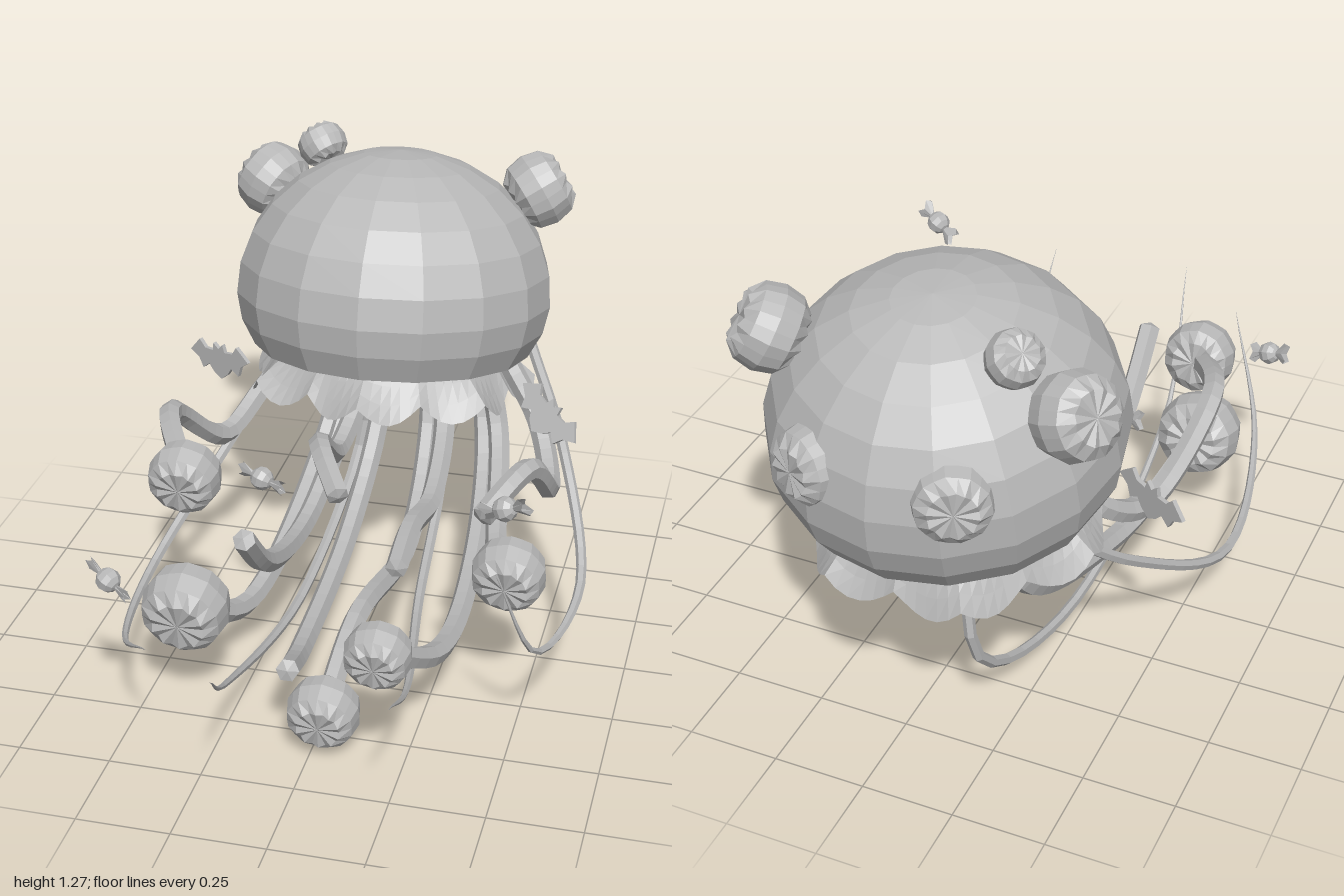
import * as THREE from 'three';

const V = (x, y, z) => new THREE.Vector3(x, y, z);
const UP = V(0, 1, 0);

export function createModel() {
  const model = new THREE.Group();
  const grey = new THREE.MeshStandardMaterial({ color: 0xb8b8b8, flatShading: true, side: THREE.DoubleSide });
  grey.name = 'grey';

  const add = (name, geometry, parent = model) => {
    const mesh = new THREE.Mesh(geometry, grey);
    mesh.name = name;
    parent.add(mesh);
    return mesh;
  };

  // Bell: rounded dome leaning back, with a narrow lip underneath
  const head = new THREE.Group();
  head.name = 'head';
  head.position.set(-0.04, 0.69, -0.508);
  head.rotation.x = -0.17;
  model.add(head);
  const dome = [new THREE.Vector2(0, 0.06), new THREE.Vector2(0.33, 0.005)];
  for (let i = 0; i <= 9; i++) {
    const a = THREE.MathUtils.lerp(-0.5, Math.PI / 2, i / 9);
    dome.push(new THREE.Vector2(0.458 * Math.cos(a), 0.17 + (a < 0 ? 0.35 : 0.405) * Math.sin(a)));
  }
  add('bell', new THREE.LatheGeometry(dome, 16), head);

  // Scalloped, folded skirt below the rim
  const lobes = 14;
  const skirt = new THREE.PlaneGeometry(1, 1, lobes * 6, 3);
  const sp = skirt.attributes.position;
  for (let i = 0; i < sp.count; i++) {
    const a = sp.getX(i) * Math.PI * 2, t = 0.5 - sp.getY(i);
    const lobe = Math.abs(Math.sin((a * lobes) / 2));
    const r = 0.31 + t * (0.09 + 0.025 * Math.cos((a * lobes) / 2));
    sp.setXYZ(i, Math.sin(a) * r, 0.02 - t * (0.095 + 0.05 * lobe), Math.cos(a) * r);
  }
  add('skirt', skirt, head);

  // Barrel knob with creased ends, shared by the bell and the arm ends
  const barrel = [[0, -0.7], [0.6, -0.72], [0.9, -0.45], [1, 0], [0.9, 0.45], [0.6, 0.72], [0, 0.68]];
  const knobShape = new THREE.LatheGeometry(barrel.map(([r, h]) => new THREE.Vector2(r, h)), 20);
  const kp = knobShape.attributes.position;
  for (let i = 0; i < kp.count; i++) {
    const y = kp.getY(i);
    const crease = Math.cos(Math.atan2(kp.getX(i), kp.getZ(i)) * 10);
    const s = 0.98 + 0.015 * crease;
    const end = Math.abs(y) > 0.71 ? 0.96 + 0.06 * crease : 1;
    kp.setXYZ(i, kp.getX(i) * s, y * end, kp.getZ(i) * s);
  }
  const knob = (name, at, size, dir) => {
    const m = add(name, knobShape);
    m.position.copy(at);
    m.scale.setScalar(size);
    m.quaternion.setFromUnitVectors(UP, dir.normalize());
  };

  // Knobs pointing outward from the middle of the bell
  const middle = V(-0.04, 0.9, -0.53);
  const bellKnob = (size, x, y, z) => knob('bellKnob', V(x, y, z).add(middle), size, V(x, y, z));
  bellKnob(0.113, -0.41, 0.19, -0.185);
  bellKnob(0.113, 0.385, 0.23, -0.185);
  bellKnob(0.073, -0.26, 0.31, -0.19);
  for (const side of [-1, 1]) bellKnob(0.105, side * 0.18, 0.01, -0.365);

  // Tube along a curve, either blunt or tapering to a point
  const limb = (name, points, radius, sides, taper) => {
    const n = 26;
    const curve = new THREE.CatmullRomCurve3(points);
    const g = new THREE.TubeGeometry(curve, n, radius, sides);
    const p = g.attributes.position, v = V(0, 0, 0);
    for (let i = 0; i <= n; i++) {
      const u = i / n;
      const centre = curve.getPointAt(u);
      const target = curve.getPointAt(i === n && !taper ? u - 0.75 / n : u);
      const s = taper ? 1 - 0.98 * u ** 3 : Number(i < n);
      for (let k = 0; k <= sides; k++) {
        const q = i * (sides + 1) + k;
        v.fromBufferAttribute(p, q).sub(centre).multiplyScalar(s).add(target);
        p.setXYZ(q, v.x, v.y, v.z);
      }
    }
    add(name, g);
  };

  // Thick arm: leaves the bell (low arms further back), dips, bends, ends bluntly or in a knob
  const arm = (dip, bend, end, knobSize) => {
    const root = V(dip.x * 0.65, 0.7, -0.75 + 0.66 * dip.y);
    const shoulder = root.clone().lerp(dip, 0.2);
    shoulder.x = dip.x * 0.85;
    shoulder.y = THREE.MathUtils.lerp(0.7, dip.y, 0.6);
    limb('arm', [root, shoulder, dip, bend, end], 0.031, 6, false);
    if (knobSize) knob('armKnob', end, knobSize, V(0, -0.2, 1));
  };
  arm(V(-0.46, 0.5, -0.2), V(-0.53, 0.69, 0.06), V(-0.41, 0.635, 0.31), 0.1);
  arm(V(-0.28, 0.17, 0), V(-0.31, 0.17, 0.2), V(-0.385, 0.3, 0.42), 0.122);
  arm(V(0.29, 0.22, -0.1), V(0.29, 0.22, 0.35), V(0.2, 0.395, 0.665), 0.09);
  arm(V(0.34, 0.3, -0.2), V(0.38, 0.29, 0), V(0.45, 0.405, 0.22), 0.103);
  arm(V(0.08, 0.2, -0.2), V(0.05, 0.25, 0.3), V(0.03, 0.125, 0.56), 0.1);
  arm(V(-0.12, 0.5, -0.18), V(-0.08, 0.69, 0.16), V(0.03, 0.63, 0.36));
  arm(V(-0.21, 0.27, -0.2), V(-0.2, 0.38, 0.27), V(-0.195, 0.61, 0.53));
  arm(V(-0.11, 0.18, -0.25), V(-0.1, 0.14, 0.3), V(-0.05, 0.28, 0.64));
  arm(V(0.17, 0.42, -0.1), V(0.16, 0.45, 0.12), V(0.17, 0.44, 0.36));
  arm(V(0.49, 0.46, -0.18), V(0.46, 0.63, 0.05), V(0.36, 0.56, 0.26));

  // Thin trailing tentacles running to a point
  const tail = (shoulder, ...rest) =>
    limb('trailingTentacle', [V(shoulder.x * 0.7, 0.68, -0.64), shoulder, ...rest], 0.016, 6, true);
  tail(V(-0.48, 0.42, -0.36), V(-0.6, 0.2, 0.05), V(-0.52, 0.26, 0.53), V(-0.34, 0.45, 0.86));
  tail(V(-0.18, 0.25, -0.68), V(-0.22, 0.025, -0.15), V(-0.22, 0.2, 0.6), V(-0.13, 0.48, 1));
  tail(V(0.11, 0.3, -0.56), V(0.15, 0.12, -0.05), V(0.24, 0.2, 0.5), V(0.3, 0.46, 0.98));
  tail(V(0.5, 0.52, -0.33), V(0.62, 0.3, 0.05), V(0.56, 0.31, 0.43), V(0.47, 0.6, 0.55));

  // Wrapped sweets: ball with pleated wrapper ends
  const ball = new THREE.SphereGeometry(0.033, 8, 6);
  const wrapper = new THREE.CylinderGeometry(0.03, 0.006, 0.04, 8, 1, true);
  const wp = wrapper.attributes.position;
  for (let i = 0; i < wp.count; i++) {
    if (wp.getY(i) > 0) wp.setXYZ(i, wp.getX(i), 0.02 + (i % 2 ? 0.008 : -0.008), wp.getZ(i) * 0.4);
  }
  const sweet = (at, dir) => {
    const g = new THREE.Group();
    g.name = 'sweet';
    g.position.copy(at);
    g.quaternion.setFromUnitVectors(UP, dir.normalize());
    add('sweetBall', ball, g);
    for (const s of [1, -1]) {
      const end = add('wrapperEnd', wrapper, g);
      end.position.y = s * 0.046;
      end.rotation.z = s > 0 ? 0 : Math.PI;
    }
    model.add(g);
  };
  sweet(V(0.48, 0.76, 0.5), V(0.85, 0.4, 0.4));
  sweet(V(-0.52, 0.485, 0.625), V(0.85, -0.4, 0.4));
  sweet(V(-0.265, 0.53, 0.09), V(0.9, -0.2, 0.3));

  // Flat bats: half outline mirrored
  const half = [[0.018, 0.05], [0.024, 0.026], [0.055, 0.028], [0.075, 0.052], [0.118, 0.012],
    [0.085, -0.008], [0.072, -0.038], [0.045, -0.02], [0.028, -0.042]];
  const outline = [[0, 0.034], ...half, [0, -0.06], ...half.map(([x, y]) => [-x, y]).reverse()];
  const batShape = new THREE.Shape(outline.map(([x, y]) => new THREE.Vector2(x, y)));
  const batGeo = new THREE.ExtrudeGeometry(batShape, { depth: 0.012, bevelEnabled: false });
  batGeo.translate(0, 0, -0.006);
  const bat = (at, rx, ry, rz) => {
    const m = add('bat', batGeo);
    m.position.copy(at);
    m.rotation.set(rx, ry, rz);
  };
  bat(V(-0.525, 0.645, -0.38), 0, -0.48, 0.1);
  bat(V(0.465, 0.65, -0.235), -0.5, -0.35, -0.7);

  return model;
}
